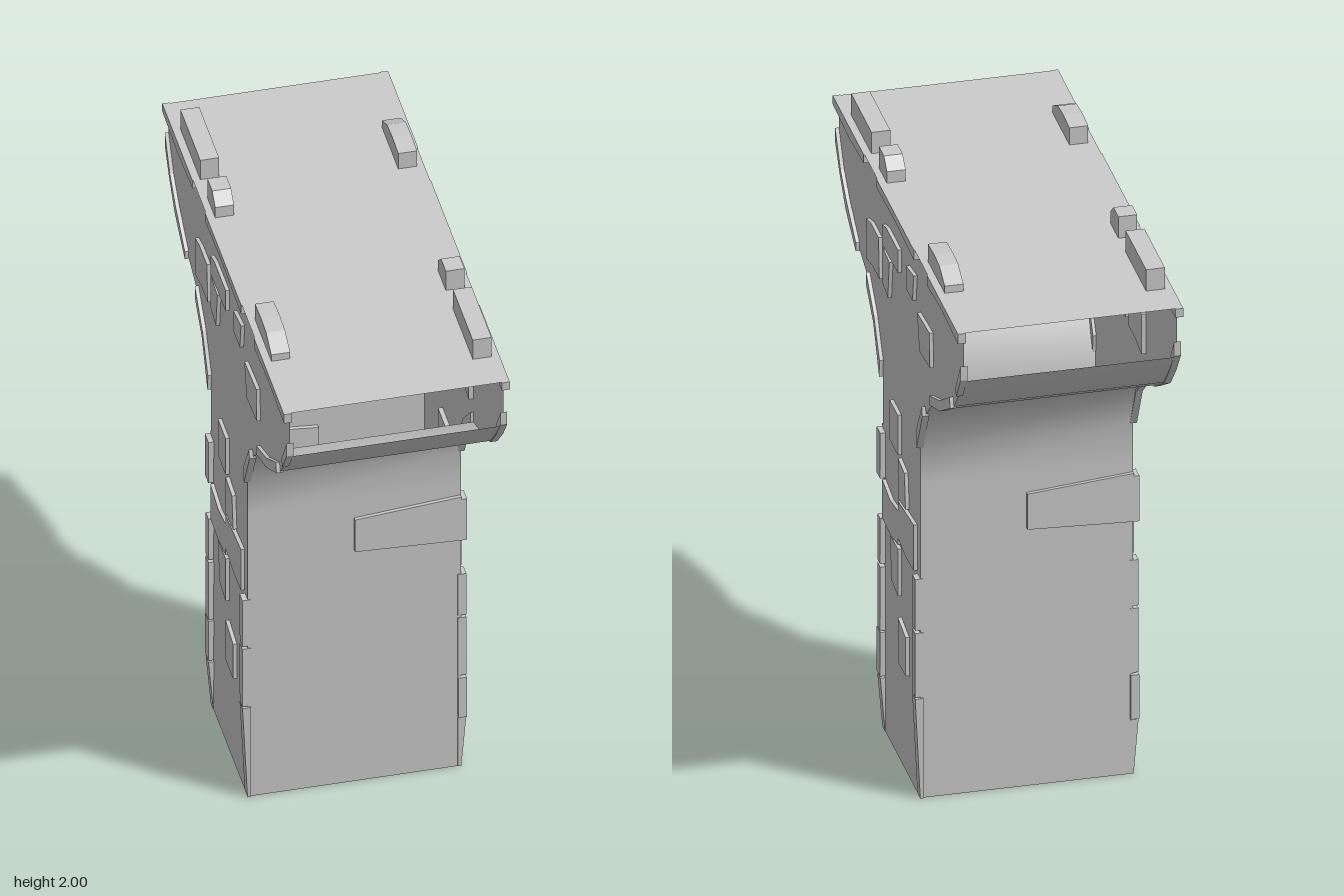
import * as THREE from 'three';

const W = 0.34;      // half width of the pillar
const TOP = 1.925;   // height of the deck
const mat = new THREE.MeshStandardMaterial({ color: 0xcccccc, side: THREE.DoubleSide });

// Half outline of the flared pillar as [z, y], from foot to deck edge
const outline = [
  [0.243, 0], [0.243, 1.1], [0.243, 1.23], [0.315, 1.385], [0.41, 1.47],
  [0.545, 1.52], [0.68, 1.6], [0.76, 1.69], [0.81, 1.755],
];

function add(parent, name, geometry) {
  const mesh = new THREE.Mesh(geometry, mat);
  mesh.name = name;
  parent.add(mesh);
  return mesh;
}

// Shape from [z, y] corners, lying so that it can be turned to face +x
const sideShape = (pts) => new THREE.Shape(pts.map(([z, y]) => new THREE.Vector2(-z, y)));

// Slab with a [z, y] outline, reaching from x0 to x1
function sideSlab(pts, x0, x1) {
  const g = new THREE.ExtrudeGeometry(sideShape(pts), { depth: x1 - x0, bevelEnabled: false });
  return g.rotateY(Math.PI / 2).translate(x0, 0, 0);
}

// Raised stones on the side wall
const wallStones = [
  [[0.41, 1.7], [0.35, 1.715], [0.25, 1.715], [0.24, 1.575], [0.33, 1.575], [0.41, 1.56]],
  [[0.205, 1.785], [0.15, 1.8], [0, 1.8], [0, 1.72], [0.205, 1.715]],
  [[0.205, 1.71], [0.11, 1.7], [0.13, 1.565], [0.205, 1.585]],
  [[-0.105, 1.8], [-0.205, 1.815], [-0.19, 1.72], [-0.105, 1.72]],
  [[-0.25, 1.71], [-0.41, 1.72], [-0.415, 1.6], [-0.28, 1.59]],
  [[0.105, 1.22], [0, 1.22], [0, 1.08], [0.105, 1.08]],
  [[0, 1.07], [-0.085, 1.06], [-0.1, 0.94], [0, 0.93]],
  [[0.205, 0.89], [0.1, 0.87], [0, 0.885], [0, 0.765], [0.1, 0.75], [0.205, 0.755]],
  [[0, 0.92], [-0.205, 0.94], [-0.205, 0.78], [-0.1, 0.775], [0, 0.79]],
  [[0.1, 0.75], [0, 0.75], [0, 0.585], [0.085, 0.6]],
  [[0, 0.51], [-0.1, 0.49], [-0.1, 0.355], [0, 0.355]],
];

// Stones following the curved rim
const rimStones = [
  [[0.813, 1.81], [0.813, 1.76], [0.76, 1.685], [0.68, 1.595], [0.67, 1.63], [0.745, 1.7]],
  [[0.67, 1.63], [0.68, 1.595], [0.545, 1.515], [0.545, 1.545]],
  [[0.412, 1.51], [0.412, 1.465], [0.318, 1.38], [0.243, 1.23], [0.237, 1.29], [0.31, 1.41]],
  [[-0.813, 1.81], [-0.813, 1.76], [-0.755, 1.675], [-0.745, 1.7]],
  [[-0.68, 1.595], [-0.67, 1.63], [-0.54, 1.55], [-0.41, 1.5], [-0.41, 1.467], [-0.545, 1.515]],
  [[-0.318, 1.38], [-0.31, 1.41], [-0.237, 1.29], [-0.243, 1.23]],
];

// Flat stones under the deck edge
const edgeStones = [
  [[0.813, 1.925], [0.41, 1.925], [0.41, 1.895], [0.6, 1.885], [0.813, 1.895]],
  [[0.245, 1.925], [-0.24, 1.925], [-0.24, 1.89], [0, 1.9], [0.245, 1.895]],
  [[-0.41, 1.925], [-0.813, 1.925], [-0.813, 1.89], [-0.6, 1.9], [-0.42, 1.89]],
];

// Corner stones: side sign, bottom, top, outer z
const cornerStones = [
  [1, 0, 0.19, 0.245], [1, 0.195, 0.35, 0.253], [1, 0.355, 0.58, 0.245],
  [1, 0.59, 0.75, 0.245], [1, 0.89, 1.05, 0.255],
  [-1, 0, 0.35, 0.247], [-1, 0.355, 0.58, 0.245], [-1, 0.59, 0.77, 0.245],
];

// Parapet blocks standing on the deck edge
const parapetBlocks = [
  [[0.675, TOP], [0.675, 2], [0.41, 2], [0.41, TOP]],
  [[0.315, TOP], [0.315, 2], [0.25, 2], [0.21, 1.965], [0.21, TOP]],
  [[-0.32, TOP], [-0.32, 1.985], [-0.4, 1.99], [-0.47, 1.985], [-0.54, 1.95], [-0.54, TOP]],
];

// One half; the other is the same turned by 180 degrees
function createHalf() {
  const half = new THREE.Group();

  // Side wall covering the whole T outline
  const mirrored = outline.map(([z, y]) => [-z, y]).reverse();
  const wall = [...outline, [0.81, TOP], [-0.81, TOP], ...mirrored];
  add(half, 'sideWall', new THREE.ShapeGeometry(sideShape(wall)).rotateY(Math.PI / 2).translate(W, 0, 0));

  // Curved face sweeping out to the deck
  const face = new THREE.PlaneGeometry(2 * W, 1, 1, outline.length - 1);
  const pos = face.attributes.position;
  for (let i = 0; i < pos.count; i++) {
    const [z, y] = outline[outline.length - 1 - Math.floor(i / 2)];
    pos.setY(i, y);
    pos.setZ(i, z);
  }
  face.computeVertexNormals();
  add(half, 'curvedFace', face);

  wallStones.forEach((s) => add(half, 'wallStone', sideSlab(s, 0.325, 0.352)));
  rimStones.forEach((s) => add(half, 'rimStone', sideSlab(s, 0.33, 0.352)));
  edgeStones.forEach((s) => add(half, 'edgeStone', sideSlab(s, 0.335, 0.36)));
  parapetBlocks.forEach((s) => add(half, 'parapetBlock', sideSlab(s, 0.275, 0.335)));

  // Corner stones, narrowing to the wall at the foot
  for (const [s, y0, y1, z] of cornerStones) {
    const g = sideSlab([[s * z, y0], [s * 0.21, y0], [s * 0.208, y1], [s * z, y1]], 0.33, 0.357);
    const p = g.attributes.position;
    for (let i = 0; i < p.count; i++) {
      if (p.getY(i) < 0.01) p.setX(i, Math.min(p.getX(i), 0.341));
    }
    g.computeVertexNormals();
    add(half, 'cornerStone', g);
  }

  // Large raised stone on the curved face
  const stone = new THREE.Shape([[0, 1.03], [0, 0.905], [W, 0.89], [W, 1.06]].map((p) => new THREE.Vector2(...p)));
  add(half, 'faceStone', new THREE.ExtrudeGeometry(stone, { depth: 0.025, bevelEnabled: false }).translate(0, 0, 0.23));
  return half;
}

export function createModel() {
  const model = new THREE.Group();
  model.name = 'bridgePillar';
  for (const [name, turn] of [['frontHalf', 0], ['backHalf', Math.PI]]) {
    const half = createHalf();
    half.name = name;
    half.rotation.y = turn;
    model.add(half);
  }
  // Flat deck
  add(model, 'deck', new THREE.PlaneGeometry(0.715, 1.62).rotateX(-Math.PI / 2).translate(0, TOP, 0));
  return model;
}
